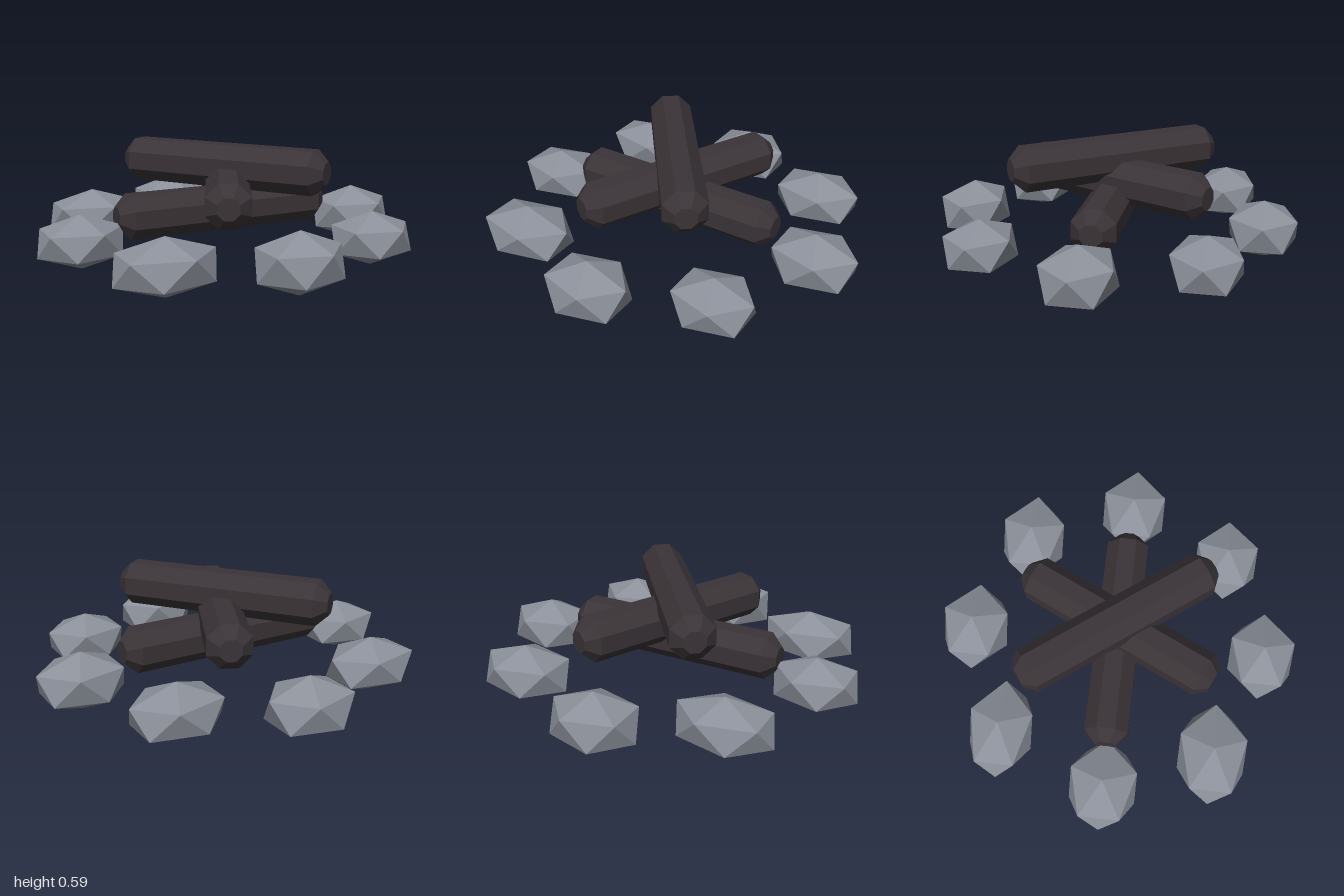
import * as THREE from 'three';

const stoneMat = new THREE.MeshStandardMaterial({ color: 0x8b909a, flatShading: true });
const logMat = new THREE.MeshStandardMaterial({ color: 0x3a3337, flatShading: true });

// Eight-sided log with bevelled ends, running between two points at height y
function log(name, y, [x0, z0], [x1, z1]) {
  const a = new THREE.Vector3(x0, y, z0), b = new THREE.Vector3(x1, y, z1);
  const dir = b.clone().sub(a);
  const h = dir.length() / 2, r = 0.118, bevel = 0.06;
  const profile = [[0, -h], [r - bevel, -h], [r, bevel - h], [r, h - bevel], [r - bevel, h], [0, h]]
    .map(([px, py]) => new THREE.Vector2(px, py));
  const geo = new THREE.LatheGeometry(profile, 8, Math.PI / 8);
  geo.rotateX(Math.PI / 2);
  const mesh = new THREE.Mesh(geo, logMat);
  mesh.name = name;
  mesh.position.copy(a).add(b).multiplyScalar(0.5);
  mesh.rotation.y = Math.atan2(dir.x, dir.z);
  return mesh;
}

// Squashed icosahedron standing on one corner; rx and rz are the half widths of its rings
function stone(x, z, rx, rz, bottom, top) {
  const geo = new THREE.IcosahedronGeometry(1, 0);
  geo.rotateZ(-Math.atan(2 / (1 + Math.sqrt(5))));
  const ring = 2 / Math.sqrt(5);
  geo.scale(rx / ring, (top - bottom) / 2, rz / ring);
  const mesh = new THREE.Mesh(geo, stoneMat);
  mesh.name = 'stone';
  mesh.position.set(x, (top + bottom) / 2, z);
  return mesh;
}

export function createModel() {
  const model = new THREE.Group();
  model.name = 'campfire';

  // Three crossed logs, stacked
  const logs = new THREE.Group();
  logs.name = 'logs';
  logs.add(
    log('bottomLog', 0.26, [-0.6, 0], [0.555, 0]),
    log('middleLog', 0.37, [-0.24, 0.51], [0.24, -0.505]),
    log('topLog', 0.48, [-0.36, -0.455], [0.32, 0.45]),
  );
  model.add(logs);

  // Ring of stones: x, z, half width, half depth, bottom, top
  const ring = new THREE.Group();
  ring.name = 'stoneRing';
  [
    [-0.015, 0.765, 0.215, 0.174, 0.01, 0.31],
    [0.525, 0.545, 0.207, 0.173, 0.025, 0.295],
    [0.77, 0.005, 0.222, 0.178, 0.01, 0.305],
    [0.54, -0.535, 0.23, 0.174, 0.02, 0.3],
    [-0.01, -0.77, 0.218, 0.178, 0.0, 0.295],
    [-0.555, -0.545, 0.24, 0.167, 0.02, 0.3],
    [-0.785, 0.01, 0.215, 0.175, 0.03, 0.3],
    [-0.565, 0.545, 0.245, 0.178, 0.015, 0.295],
  ].forEach((s) => ring.add(stone(...s)));
  model.add(ring);

  return model;
}
